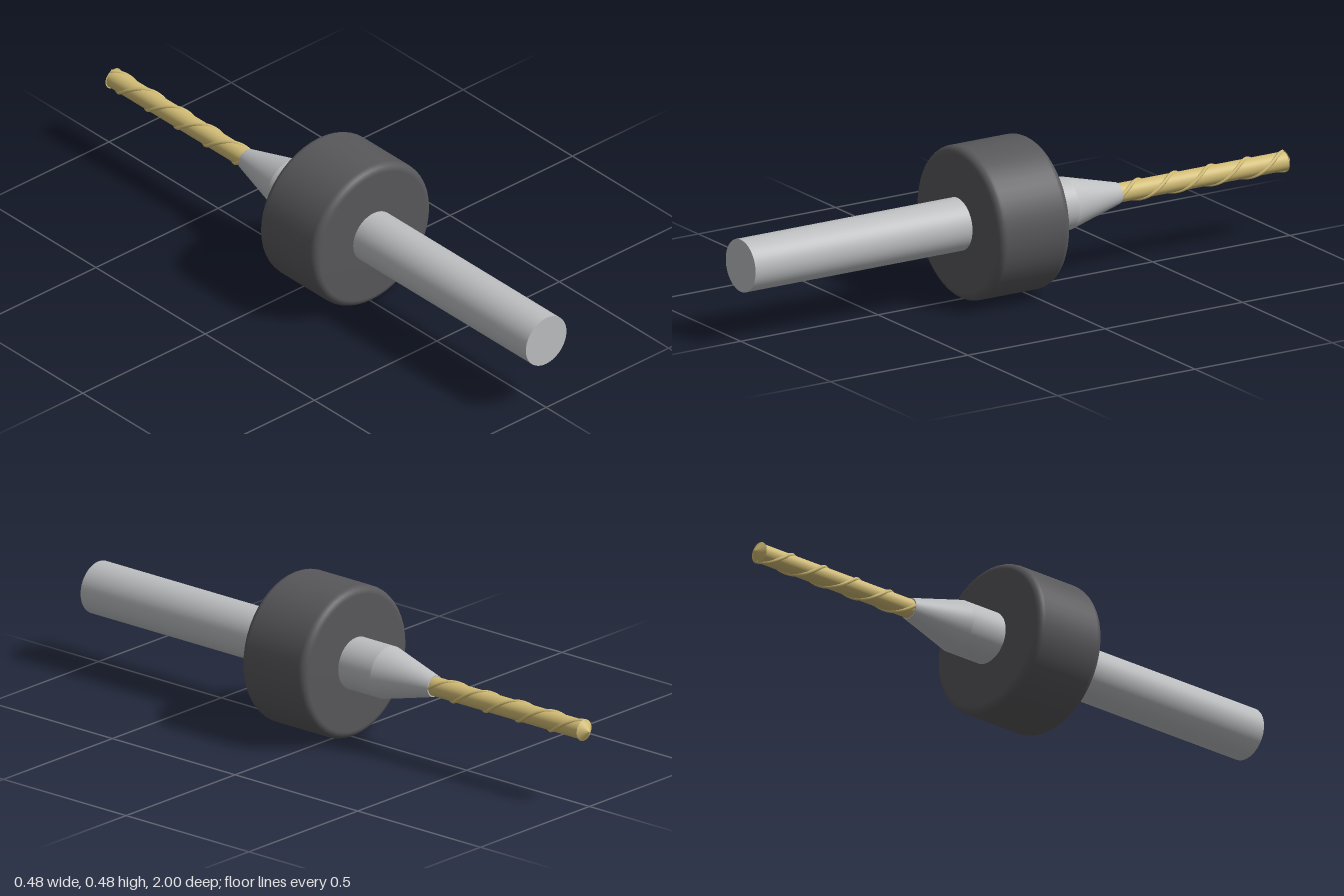
import * as THREE from 'three';

const AXIS_Y = 0.242;

export function createModel() {
  const model = new THREE.Group();
  const steel = new THREE.MeshStandardMaterial({ color: 0xbcbec0 });
  steel.name = 'steel';
  const charcoal = new THREE.MeshStandardMaterial({ color: 0x58585b });
  charcoal.name = 'charcoal';
  const gold = new THREE.MeshStandardMaterial({ color: 0xd3bd75 });
  gold.name = 'gold';

  const add = (name, geometry, material) => {
    const mesh = new THREE.Mesh(geometry, material);
    mesh.name = name;
    mesh.position.y = AXIS_Y;
    model.add(mesh);
  };

  // Round section along z: radius rFront at zFront, rBack at zBack
  const rod = (zFront, zBack, rFront, rBack) =>
    new THREE.CylinderGeometry(rFront, rBack, zFront - zBack, 48)
      .rotateX(Math.PI / 2)
      .translate(0, 0, (zFront + zBack) / 2);

  // Shank and its taper
  add('shank', rod(1, -0.18, 0.083, 0.083), steel);
  add('taper', rod(-0.18, -0.37, 0.083, 0.034), steel);

  // Depth collar with rounded rims
  const R = 0.241, z0 = -0.05, z1 = 0.21, c = 0.025;
  const profile = [new THREE.Vector2(0, z0)];
  for (let i = 0; i <= 6; i++) {
    const a = -Math.PI / 2 + (i / 6) * Math.PI / 2;
    profile.push(new THREE.Vector2(R - c + c * Math.cos(a), z0 + c + c * Math.sin(a)));
  }
  for (let i = 0; i <= 6; i++) {
    const a = (i / 6) * Math.PI / 2;
    profile.push(new THREE.Vector2(R - c + c * Math.cos(a), z1 - c + c * Math.sin(a)));
  }
  profile.push(new THREE.Vector2(0, z1));
  add('collar', new THREE.LatheGeometry(profile, 48).rotateX(Math.PI / 2), charcoal);

  // Drill core and pointed tip
  add('drillCore', rod(-0.365, -0.98, 0.03, 0.03), gold);
  add('drillTip', rod(-0.978, -1, 0.034, 0.002), gold);

  // Two spiral ridges winding around the core
  const turns = 2.3, start = -0.37, end = -0.98;
  for (let k = 0; k < 2; k++) {
    const points = [];
    for (let i = 0; i <= 60; i++) {
      const t = i / 60;
      const a = k * Math.PI + t * turns * Math.PI * 2;
      points.push(new THREE.Vector3(
        0.029 * Math.cos(a), 0.029 * Math.sin(a), start + (end - start) * t));
    }
    const path = new THREE.CatmullRomCurve3(points);
    add('spiralRidge' + (k + 1), new THREE.TubeGeometry(path, 140, 0.006, 8), gold);
  }

  return model;
}
